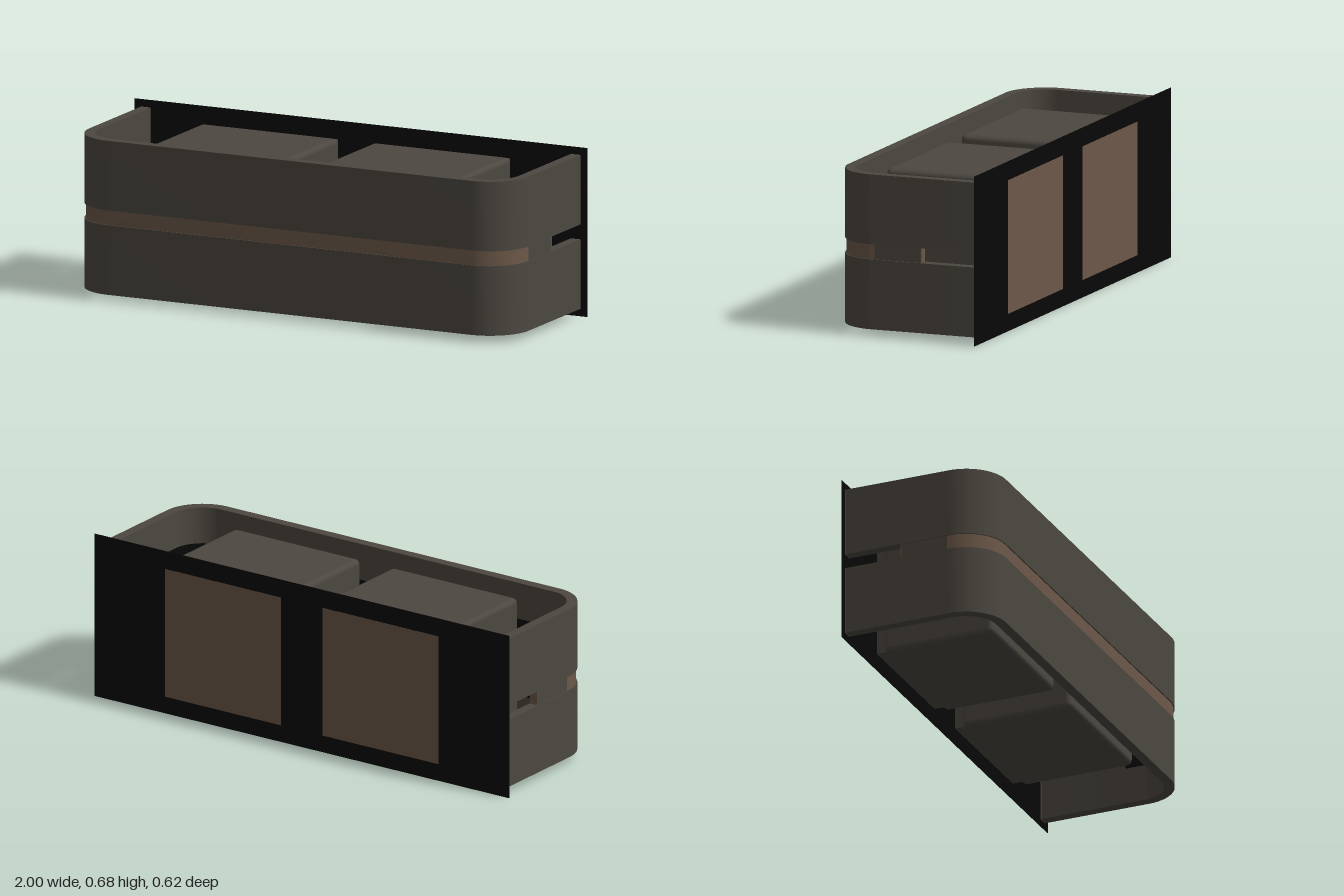
import * as THREE from 'three';
import { toCreasedNormals } from 'three/addons/utils/BufferGeometryUtils.js';
import { RoundedBoxGeometry } from 'three/addons/geometries/RoundedBoxGeometry.js';

const BACK = -0.31;

// Wall of a U-shaped plan, open at the back: half width, front z, corner radius, thickness, back z
function uWall(w, front, r, t, back, y0, y1) {
  const s = new THREE.Shape();
  const ri = r - t;
  const cx = w - r, cy = -front + r; // plan y is -z
  s.moveTo(-w, -back);
  s.lineTo(-w, cy);
  s.absarc(-cx, cy, r, Math.PI, Math.PI * 1.5, false);
  s.lineTo(cx, -front);
  s.absarc(cx, cy, r, Math.PI * 1.5, Math.PI * 2, false);
  s.lineTo(w, -back);
  s.lineTo(w - t, -back);
  s.lineTo(w - t, cy);
  s.absarc(cx, cy, ri, 0, -Math.PI / 2, true);
  s.lineTo(-cx, -front + t);
  s.absarc(-cx, cy, ri, -Math.PI / 2, -Math.PI, true);
  s.lineTo(-w + t, -back);
  s.closePath();
  const g = new THREE.ExtrudeGeometry(s, { depth: y1 - y0, bevelEnabled: false, curveSegments: 16 });
  g.rotateX(-Math.PI / 2);
  g.translate(0, y0, 0);
  return toCreasedNormals(g, 0.6);
}

export function createModel() {
  const model = new THREE.Group();
  model.name = 'wallLamp';
  const mat = (name, color) => {
    const m = new THREE.MeshStandardMaterial({ color });
    m.name = name;
    return m;
  };
  const grey = mat('warm grey', 0x4c4740);
  const tan = mat('bronze', 0x6c5848);
  const black = mat('black', 0x080808);

  const add = (name, geometry, material, x = 0, y = 0, z = 0) => {
    const m = new THREE.Mesh(geometry, material);
    m.name = name;
    m.position.set(x, y, z);
    model.add(m);
    return m;
  };
  // Box given by its two extreme corners
  const box = (name, material, x0, x1, y0, y1, z0, z1) =>
    add(name, new THREE.BoxGeometry(x1 - x0, y1 - y0, z1 - z0), material,
      (x0 + x1) / 2, (y0 + y1) / 2, (z0 + z1) / 2);

  // Back plate
  box('backPlate', black, -1, 1, 0, 0.68, BACK, BACK + 0.002);

  // Two halves of the shade with bronze edges against the wall
  for (const [name, y0, y1] of [['lowerShade', 0.03, 0.31], ['upperShade', 0.37, 0.65]]) {
    add(name, uWall(0.97, 0.31, 0.17, 0.042, BACK + 0.008, y0, y1), grey);
    for (const s of [-1, 1]) {
      const a = s * 0.928, b = s * 0.97;
      box(name + 'RearEdge', tan, Math.min(a, b), Math.max(a, b), y0, y1, BACK + 0.002, BACK + 0.008);
    }
  }

  // Recessed band between the halves, leaving an open slot near the wall
  add('band', uWall(0.965, 0.305, 0.165, 0.036, 0.13, 0.31, 0.37), tan);
  for (const s of [-1, 1]) {
    const x0 = s > 0 ? 0.929 : -0.965;
    box('bandSide', grey, x0, x0 + 0.036, 0.31, 0.37, -0.066, 0.13);
    box('bandEnd', tan, x0, x0 + 0.036, 0.31, 0.37, -0.07, -0.066);
  }

  // Dark liner around the inside of the joint
  add('liner', uWall(0.93, 0.27, 0.13, 0.006, 0.06, 0.18, 0.5), black);

  // Lamp blocks on their mounting bases
  for (const s of [-1, 1]) {
    const x = s * 0.38;
    add('lampBlock', new RoundedBoxGeometry(0.61, 0.56, 0.47, 3, 0.022), grey, x, 0.34, -0.035);
    box('lampBase', grey, x - 0.28, x + 0.28, 0.07, 0.605, BACK + 0.002, -0.26);
    box('lampBaseRearFace', tan, x - 0.28, x + 0.28, 0.07, 0.605, BACK - 0.001, BACK + 0.001);
  }
  return model;
}
